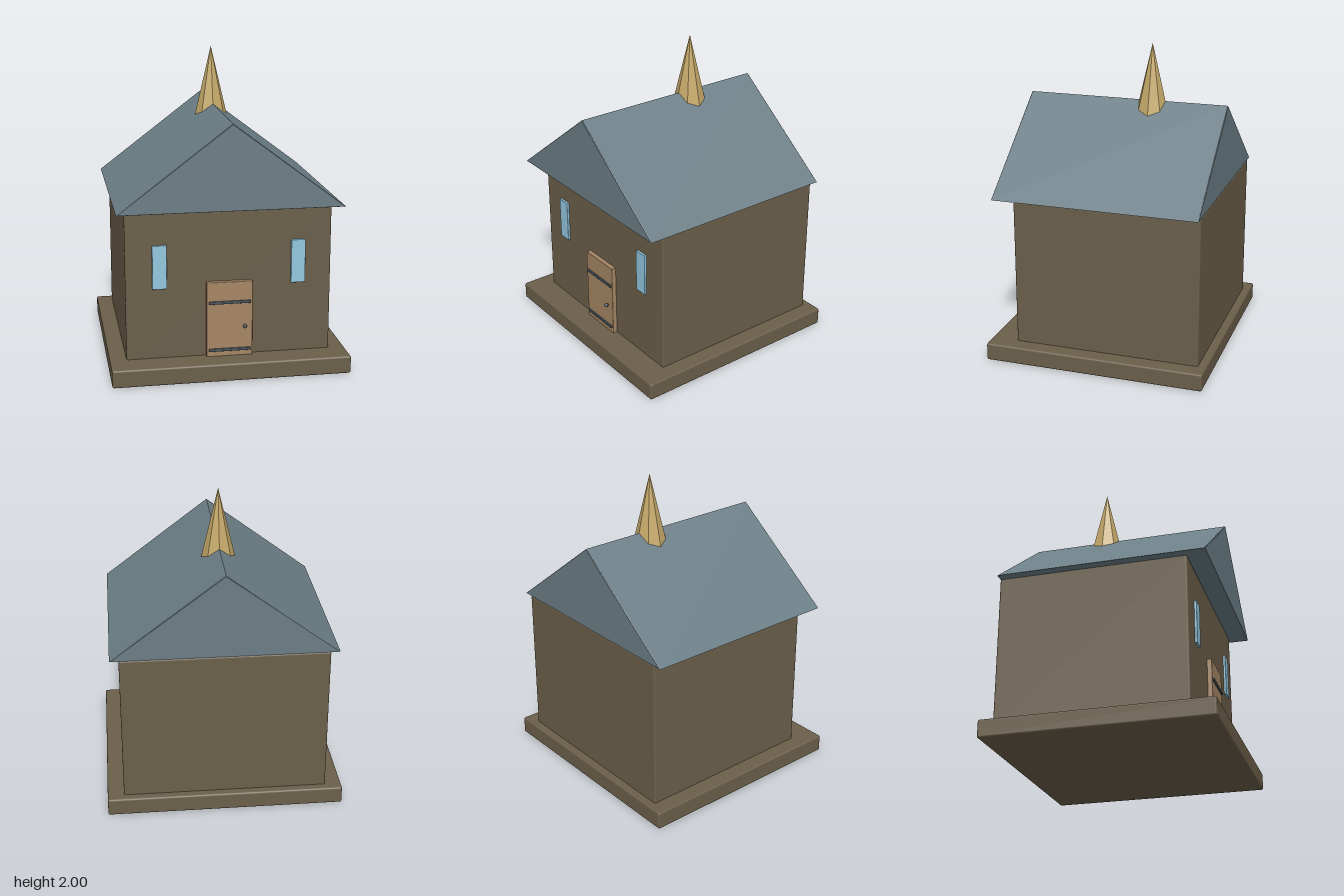
import * as THREE from 'three';
import { RoundedBoxGeometry } from 'three/addons/geometries/RoundedBoxGeometry.js';

const material = (name, color, flatShading = false) => {
  const m = new THREE.MeshStandardMaterial({ color, flatShading });
  m.name = name;
  return m;
};

export function createModel() {
  const group = new THREE.Group();
  const stone = material('brown stone', 0x6b5f4a);
  const slate = material('blue grey slate', 0x6c7e86, true);
  const wood = material('door wood', 0xa68665);
  const glass = material('window glass', 0x94c8e0);
  const brass = material('spire gold', 0xc4a868, true);
  const iron = material('dark iron', 0x4a565c);

  const add = (name, geometry, mat, x = 0, y = 0, z = 0) => {
    const mesh = new THREE.Mesh(geometry, mat);
    mesh.name = name;
    mesh.position.set(x, y, z);
    group.add(mesh);
    return mesh;
  };

  // Box given by its limits, with softly rounded edges
  const block = (name, mat, [x0, x1], [y0, y1], [z0, z1], radius) =>
    add(name, new RoundedBoxGeometry(x1 - x0, y1 - y0, z1 - z0, 2, radius), mat,
      (x0 + x1) / 2, (y0 + y1) / 2, (z0 + z1) / 2);

  // Plinth and walls
  block('plinth', stone, [-0.76, 0.76], [0, 0.115], [-0.72, 0.72], 0.012);
  block('walls', stone, [-0.655, 0.655], [0.09, 1.088], [-0.667, 0.547], 0.012);

  // Solid gabled roof with slightly softened ends
  const gable = new THREE.Shape([
    new THREE.Vector2(-0.712, 1.086),
    new THREE.Vector2(0.712, 1.086),
    new THREE.Vector2(0, 1.626),
  ]);
  const bevel = 0.004;
  add('roof', new THREE.ExtrudeGeometry(gable, {
    depth: 1.338 - 2 * bevel, bevelEnabled: true, bevelSegments: 1,
    bevelSize: bevel, bevelOffset: -bevel, bevelThickness: bevel,
  }), slate, 0, 0, -0.667 + bevel);

  // Eight-sided spire, its foot sunk in the ridge
  add('spire', new THREE.ConeGeometry(0.125, 0.53, 8), brass, 0, 1.735, -0.165);

  // Door with straps and knob
  block('door', wood, [-0.148, 0.146], [0.11, 0.606], [0.53, 0.577], 0.004);
  for (const y of [0.157, 0.472])
    block('doorStrap', iron, [-0.134, 0.132], [y - 0.009, y + 0.009], [0.57, 0.587], 0.003);
  add('doorKnob', new THREE.SphereGeometry(0.013, 12, 8), iron, 0.095, 0.313, 0.594);
  const stem = add('knobStem', new THREE.CylinderGeometry(0.006, 0.006, 0.02, 8), iron, 0.095, 0.313, 0.582);
  stem.rotation.x = Math.PI / 2;

  // Narrow windows on both sides of the door
  for (const side of [-1, 1])
    block('window', glass, [side * 0.441 - 0.046, side * 0.441 + 0.046], [0.574, 0.857], [0.535, 0.562], 0.004);

  return group;
}
